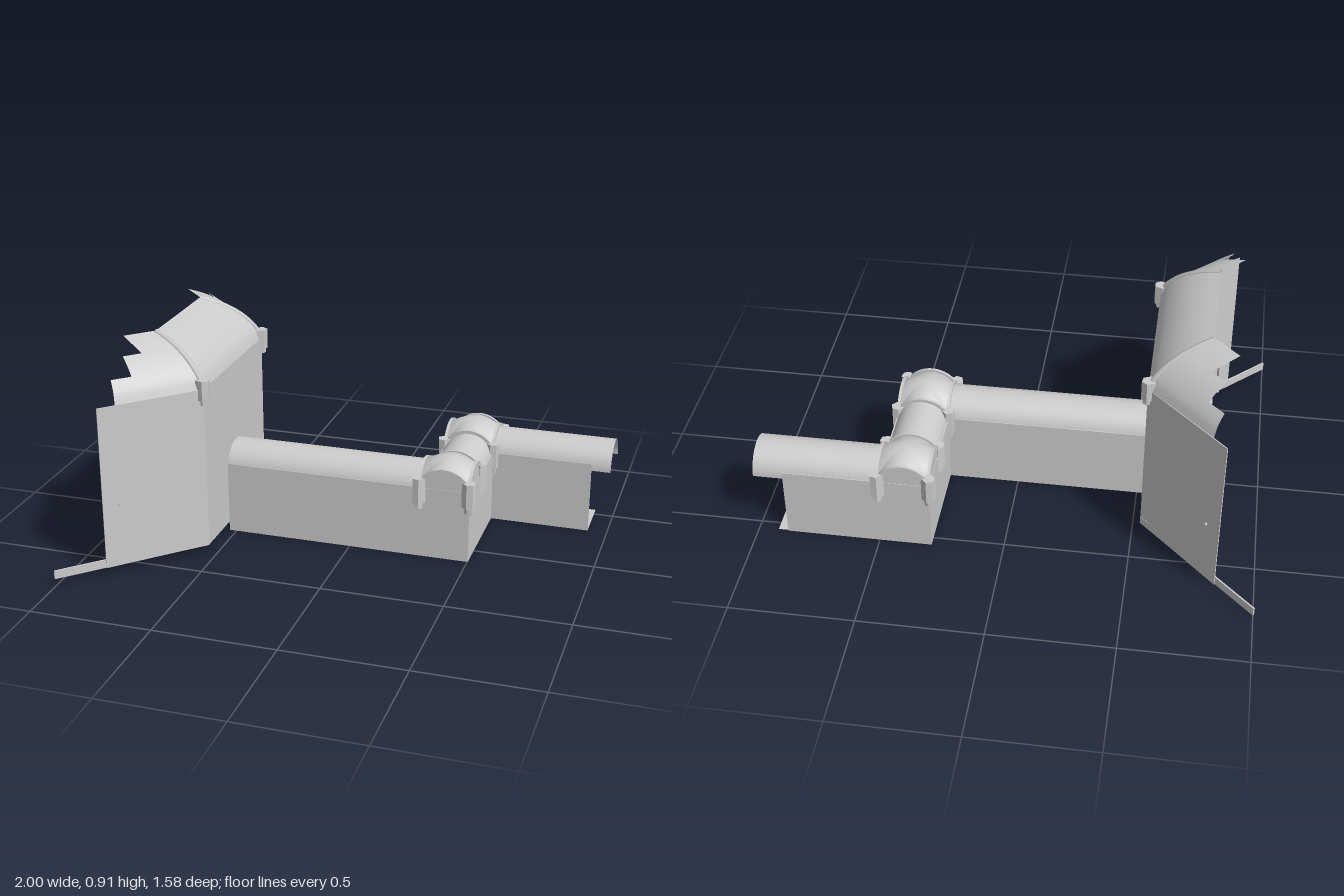
import * as THREE from 'three';

const mat = new THREE.MeshStandardMaterial({ color: 0xcccccc, side: THREE.DoubleSide });
const R = 0.105, SPRING = 0.275, WALL_TOP = 0.305;

export function createModel() {
  const root = new THREE.Group();
  const add = (name, geo, x = 0, y = 0, z = 0, ry = 0, parent = root) => {
    const m = new THREE.Mesh(geo, mat);
    m.name = name;
    m.position.set(x, y, z);
    m.rotation.y = ry;
    parent.add(m);
    return m;
  };
  // Thin upright panel between two plan points
  const panel = (name, [x0, z0], [x1, z1], y0, y1, t = 0.004) => {
    const len = Math.hypot(x1 - x0, z1 - z0);
    add(name, new THREE.BoxGeometry(len, y1 - y0, t), (x0 + x1) / 2, (y0 + y1) / 2, (z0 + z1) / 2,
      -Math.atan2(z1 - z0, x1 - x0));
  };
  const walls = (name, pts, y0, y1) => {
    for (let i = 1; i < pts.length; i++) panel(name, pts[i - 1], pts[i], y0, y1);
  };
  const floor = (name, pts, y) => {
    const g = new THREE.ShapeGeometry(new THREE.Shape(pts.map(([x, z]) => new THREE.Vector2(x, -z))));
    g.rotateX(-Math.PI / 2);
    add(name, g, 0, y, 0);
  };
  // Surface through rows of points
  const loft = (name, rows) => {
    const n = rows[0].length, idx = [];
    for (let i = 0; i < rows.length - 1; i++)
      for (let j = 0; j < n - 1; j++) {
        const a = i * n + j;
        idx.push(a, a + 1, a + n, a + 1, a + n + 1, a + n);
      }
    const g = new THREE.BufferGeometry();
    g.setAttribute('position', new THREE.Float32BufferAttribute(rows.flat(2), 3));
    g.setIndex(idx);
    g.computeVertexNormals();
    add(name, g);
  };
  // Corner bracket: pointed cap with a narrower foot, pointing along angle a in plan
  const bracket = (x, z, a, top, h) => {
    const b = new THREE.Group();
    b.name = 'cornerBracket';
    b.position.set(x, top, z);
    b.rotation.y = -a;
    root.add(b);
    const prism = (w, len, tip, height, y) => {
      const s = new THREE.Shape([[-0.02, -w], [len, -w], [tip, 0], [len, w], [-0.02, w]]
        .map(p => new THREE.Vector2(...p)));
      const g = new THREE.ExtrudeGeometry(s, { depth: height, bevelEnabled: false });
      g.rotateX(-Math.PI / 2);
      add('bracketBlock', g, 0, y, 0, 0, b);
    };
    prism(0.023, 0.014, 0.028, h * 0.8, -h * 0.8);
    prism(0.015, 0.009, 0.02, h * 0.25, -h);
  };

  // Corridor walls and floor
  const front = [[-0.53, R], [0.5, R], [0.5, -0.33], [0.92, -0.33]];
  const back = [[-0.53, -R], [0.29, -R], [0.29, -0.54], [0.88, -0.54]];
  walls('corridorFrontWall', front, 0, WALL_TOP);
  walls('corridorBackWall', back, 0, WALL_TOP);
  floor('corridorFloor', [...front, [0.92, -0.54], [0.29, -0.54], [0.29, -R], [-0.53, -R]], 0.002);

  // Barrel vaults
  const vault = (x, z, len, ry) => {
    const g = new THREE.CylinderGeometry(R, R, len, 32, 1, true, 0, Math.PI);
    g.rotateZ(Math.PI / 2);
    add('barrelRoof', g, x, SPRING, z, ry);
    return g;
  };
  vault(-0.12, 0, 0.82, 0);
  vault(0.395, -0.2175, 0.225, Math.PI / 2);
  vault(0.75, -0.435, 0.5, 0);

  // Junctions: domed cross vault, edge ribs, filled gables and brackets
  const ring = new THREE.Shape();
  ring.absarc(0, 0, 0.118, 0, Math.PI, false);
  ring.absarc(0, 0, 0.098, Math.PI, 0, true);
  const ribGeo = new THREE.ExtrudeGeometry(ring, { depth: 0.012, bevelEnabled: false, curveSegments: 20 });
  const gableGeo = new THREE.CircleGeometry(R, 24, 0, Math.PI);
  for (const [cz, closed] of [[0, [0, 1]], [-0.435, [2, 3]]]) {
    const dome = new THREE.PlaneGeometry(2 * R, 2 * R, 28, 28);
    dome.rotateX(-Math.PI / 2);
    const p = dome.attributes.position;
    for (let i = 0; i < p.count; i++) {
      const u = Math.abs(p.getX(i)), v = Math.abs(p.getZ(i));
      const lo = Math.min(u, v), hi = Math.max(u, v);
      p.setY(i, SPRING + Math.sqrt(Math.max(0, R * R - lo * lo)) + 0.035 * (1 - (hi / R) ** 2));
    }
    dome.computeVertexNormals();
    add('junctionVault', dome, 0.395, 0, cz);
    // Sides in order: +z, +x, -z, -x
    for (let k = 0; k < 4; k++) {
      const a = k * Math.PI / 2, dx = Math.sin(a), dz = Math.cos(a);
      add('junctionRib', ribGeo, 0.395 + dx * (R - 0.008), SPRING, cz + dz * (R - 0.008), a);
      if (closed.includes(k)) add('gable', gableGeo, 0.395 + dx * R, SPRING, cz + dz * R, a);
    }
    for (const sx of [-1, 1])
      for (const sz of [-1, 1])
        bracket(0.395 + sx * R, cz + sz * R, Math.atan2(sz, sx), 0.347, 0.133);
  }

  // Room: end wall with arched doorway
  const arch = (path, r, y0) => {
    path.moveTo(-r, y0);
    path.lineTo(r, y0);
    path.lineTo(r, SPRING);
    path.absarc(0, SPRING, r, 0, Math.PI, false);
    path.lineTo(-r, y0);
    return path;
  };
  const WX = -0.533, Y0 = 0.035, Y1 = 0.715;
  const endWall = new THREE.Shape([[-0.33, Y0], [0.33, Y0], [0.33, Y1], [-0.33, Y1]].map(p => new THREE.Vector2(...p)));
  endWall.holes.push(arch(new THREE.Path(), 0.09, Y0 + 0.001));
  add('endWall', new THREE.ShapeGeometry(endWall, 20), WX, 0, 0, Math.PI / 2);
  const frame = arch(new THREE.Shape(), 0.115, Y0);
  frame.holes.push(arch(new THREE.Path(), 0.09, Y0 + 0.001));
  add('doorFrame', new THREE.ExtrudeGeometry(frame, { depth: 0.025, bevelEnabled: false, curveSegments: 20 }),
    WX - 0.025, 0, 0, Math.PI / 2);
  floor('roomFloor', [[WX, -0.33], [WX, 0.33], [-0.785, 0.585], [-0.785, -0.585]], Y0);

  // Room roof: curved section as [inset, height]
  const curve = new THREE.SplineCurve([[0, Y1], [0.02, 0.762], [0.06, 0.81], [0.11, 0.85], [0.17, 0.882], [0.235, 0.905]]
    .map(p => new THREE.Vector2(...p)));
  const pts = curve.getPoints(30);
  const mitre = Math.tan(Math.PI / 8);
  loft('roofCentre', pts.map(({ x: d, y }) => [1, -1].map(s => [WX - d, y, s * (0.33 - mitre * d)])));

  // Broken flank edge in stepped bands: height range and reach along the wall
  const bands = [[Y1, 0.80, 0.26, 0.255], [0.80, 0.86, 0.195, 0.198], [0.86, 0.905, 0.143, 0.166]];
  const insetAt = y => {
    const i = Math.max(1, pts.findIndex(p => p.y >= y - 1e-6));
    const a = pts[i - 1], b = pts[i];
    return a.x + (b.x - a.x) * (y - a.y) / (b.y - a.y);
  };
  for (const s of [1, -1]) {
    for (const [ya, yb, ra, rb] of bands) {
      const rows = [];
      for (let i = 0; i <= 10; i++) {
        const t = i / 10, y = ya + (yb - ya) * t, d = insetAt(y), reach = ra + (rb - ra) * t;
        const q = d * Math.SQRT1_2;
        rows.push([[WX - d, y, s * (0.33 - mitre * d)], [WX - reach - q, y, s * (0.33 + reach - q)]]);
      }
      loft('brokenRoofFlank', rows);
    }
    // Rib along the mitre
    const path = new THREE.CatmullRomCurve3(pts.filter((_, i) => i % 3 === 0)
      .map(({ x: d, y }) => new THREE.Vector3(WX - d, y - 0.004, s * (0.33 - mitre * d))));
    add('roofRib', new THREE.TubeGeometry(path, 24, 0.012, 6));
    bracket(WX, s * 0.33, s * Math.PI / 8, 0.755, 0.105);
    // Slanted wall, kerb running past it, and a slim post with its bolt
    panel('slantedWall', [WX, s * 0.33], [-0.845, s * 0.645], Y0, Y1);
    panel('kerb', [WX, s * 0.33], [-1, s * 0.79], Y0, 0.07, 0.007);
    add('wallPost', new THREE.BoxGeometry(0.012, 0.27, 0.012), -0.803, Y0 + 0.135, s * 0.588, Math.PI / 4);
    const bolt = new THREE.CylinderGeometry(0.006, 0.006, 0.02, 10);
    bolt.rotateX(Math.PI / 2);
    add('postBolt', bolt, -0.795, 0.3, s * 0.595, s * Math.PI / 4);
  }
  return root;
}
